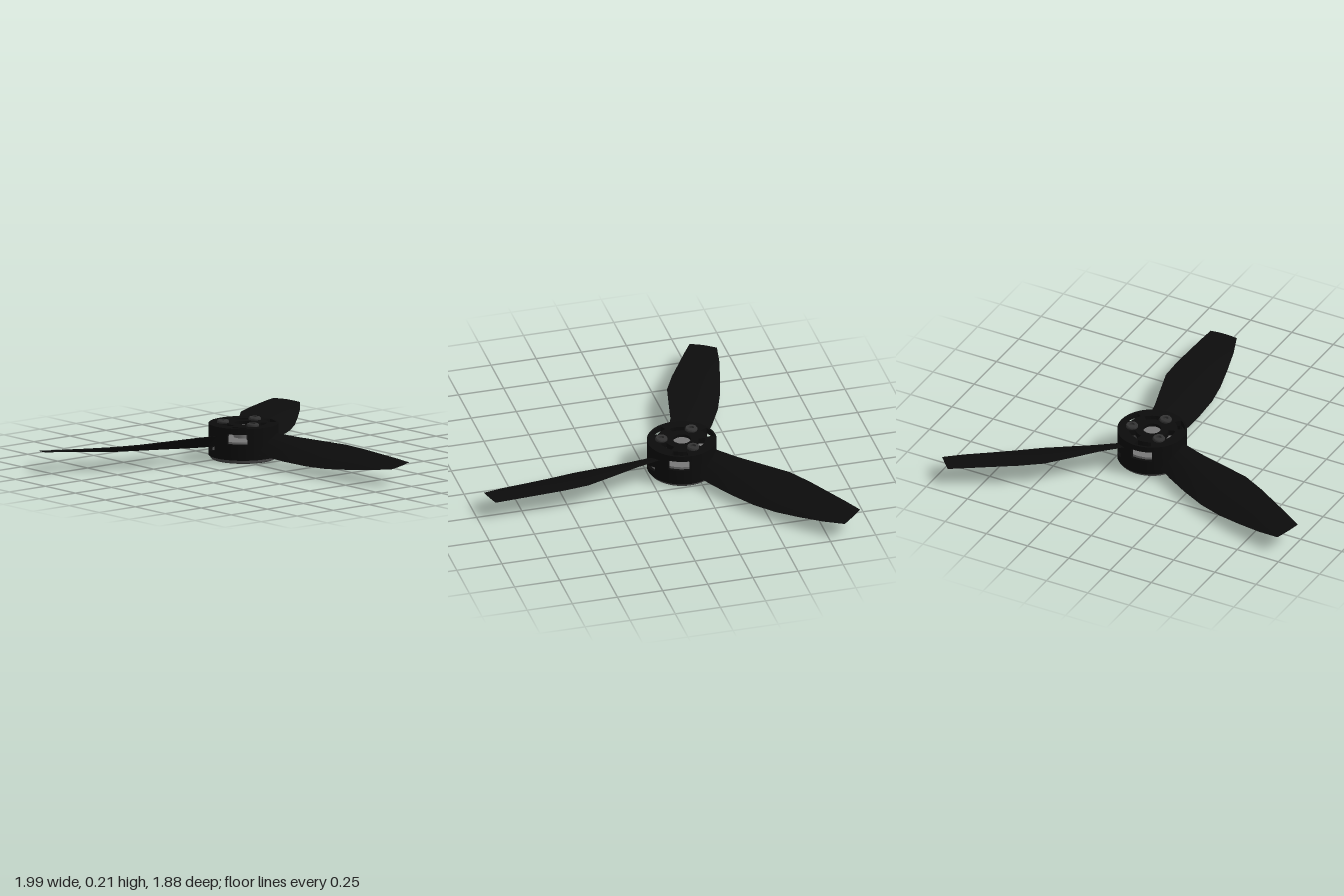
import * as THREE from 'three';
import { toCreasedNormals, mergeGeometries } from 'three/addons/utils/BufferGeometryUtils.js';

const black = new THREE.MeshStandardMaterial({ color: 0x0c0c0c });
const dark = new THREE.MeshStandardMaterial({ color: 0x333333 });
const baseGrey = new THREE.MeshStandardMaterial({ color: 0x444444 });
const grey = new THREE.MeshStandardMaterial({ color: 0x777777 });

function part(parent, name, geometry, material) {
  const mesh = new THREE.Mesh(toCreasedNormals(geometry, 0.5), material);
  mesh.name = name;
  parent.add(mesh);
  return mesh;
}

// Angles are degrees about y, from +z towards +x
const polar = (r, deg) => {
  const a = THREE.MathUtils.degToRad(deg);
  return new THREE.Vector2(r * Math.sin(a), -r * Math.cos(a));
};

function sectorPoints(r0, r1, a0, a1) {
  const n = Math.max(1, Math.ceil((a1 - a0) / 5));
  const pts = [];
  for (let i = 0; i <= n; i++) pts.push(polar(r1, a0 + (a1 - a0) * i / n));
  for (let i = n; i >= 0; i--) pts.push(polar(r0, a0 + (a1 - a0) * i / n));
  return pts;
}

function extrudeUp(shape, y0, y1) {
  return new THREE.ExtrudeGeometry(shape, { depth: y1 - y0, bevelEnabled: false, curveSegments: 48 })
    .rotateX(-Math.PI / 2).translate(0, y0, 0);
}

const sector = (r0, r1, a0, a1, y0, y1) =>
  extrudeUp(new THREE.Shape(sectorPoints(r0, r1, a0, a1)), y0, y1);

const lathe = (profile, segments) =>
  new THREE.LatheGeometry(profile.map(([r, y]) => new THREE.Vector2(r, y)), segments);

// Twisted blade lofted through lens-shaped sections
function bladeGeometry() {
  // z, low edge x, high edge x, low edge y, high edge y, thickness, edge skew
  const sections = [
    [0.15, -0.056, 0.105, 0.055, 0.145, 0.030, 0],
    [0.28, -0.060, 0.135, 0.050, 0.140, 0.030, 0],
    [0.42, -0.060, 0.180, 0.048, 0.135, 0.028, 0],
    [0.58, -0.050, 0.230, 0.047, 0.130, 0.024, 0],
    [0.72, -0.025, 0.240, 0.050, 0.125, 0.020, 0],
    [0.86, 0.010, 0.240, 0.062, 0.120, 0.016, 0],
    [1.00, 0.050, 0.240, 0.078, 0.115, 0.012, 0.005],
    [1.11, 0.094, 0.238, 0.093, 0.110, 0.007, 0.013],
  ];
  const half = 8, ring = half * 2;
  const pos = [], index = [];
  for (const [z, xl, xr, yl, yr, th, skew] of sections) {
    for (let j = 0; j < ring; j++) {
      const t = j <= half ? j / half : (ring - j) / half;
      const bulge = Math.sin(Math.PI * t) * th * (j <= half ? -0.3 : 0.7);
      pos.push(xl + (xr - xl) * t, yl + (yr - yl) * t + bulge, z + skew * (1 - 2 * t));
    }
  }
  const last = (sections.length - 1) * ring;
  for (let s = 0; s < last; s += ring) {
    for (let j = 0; j < ring; j++) {
      const a = s + j, b = s + (j + 1) % ring;
      index.push(a, b, b + ring, a, b + ring, a + ring);
    }
  }
  for (let j = 1; j < ring - 1; j++) {
    index.push(last, last + j, last + j + 1, 0, j + 1, j);
  }
  const g = new THREE.BufferGeometry();
  g.setAttribute('position', new THREE.Float32BufferAttribute(pos, 3));
  g.setIndex(index);
  g.computeVertexNormals();
  return g;
}

// One third of the hub wall: sloped slit below the blade, window at the side
function wallGeometry() {
  const r0 = 0.17, r1 = 0.186;
  const pieces = [
    sector(r0, r1, -32, -12, 0.02, 0.165),
    sector(r0, r1, 24, 52, 0.02, 0.165),
    sector(r0, r1, 52, 88, 0.02, 0.105),
  ];
  const steps = 9, width = 36 / steps;
  for (let i = 0; i < steps; i++) {
    const a = -12 + i * width, t = (i + 0.5) / steps;
    pieces.push(sector(r0, r1, a, a + width, 0.02, 0.042 + 0.018 * t));
    pieces.push(sector(r0, r1, a, a + width, 0.046 + 0.042 * t, 0.165));
  }
  return mergeGeometries(pieces);
}

export function createModel() {
  const model = new THREE.Group();
  model.name = 'propeller';
  const hub = new THREE.Group();
  hub.name = 'hub';
  hub.position.set(0.07, 0, -0.187);
  model.add(hub);

  // Motor: base disc, inner drum, centre column and shaft hole
  part(hub, 'baseDisc', lathe([[0, 0.004], [0.022, 0.004], [0.022, 0], [0.168, 0], [0.175, 0.005],
    [0.175, 0.022], [0, 0.022]], 48), baseGrey);
  part(hub, 'shaftEnd', new THREE.CylinderGeometry(0.02, 0.02, 0.008, 24).translate(0, 0.006, 0), grey);
  part(hub, 'motorDrum', new THREE.CylinderGeometry(0.166, 0.166, 0.095, 48).translate(0, 0.0675, 0), grey);
  part(hub, 'centreColumn', new THREE.CylinderGeometry(0.052, 0.052, 0.065, 32).translate(0, 0.1425, 0), grey);

  // Top plate with centre hole, curved slots and outer openings
  const plate = new THREE.Shape().absarc(0, 0, 0.186, 0, Math.PI * 2);
  plate.holes.push(new THREE.Path().absarc(0, 0, 0.048, 0, Math.PI * 2, true));
  for (let k = 0; k < 3; k++) {
    plate.holes.push(new THREE.Path(sectorPoints(0.09, 0.125, 8 + 120 * k, 48 + 120 * k)));
    plate.holes.push(new THREE.Path(sectorPoints(0.135, 0.175, 55 + 120 * k, 86 + 120 * k)));
  }
  part(hub, 'topPlate', extrudeUp(plate, 0.16, 0.192), black);

  // Threefold parts
  const blade = bladeGeometry();
  const wall = wallGeometry();
  const bolt = lathe([[0.033, 0.12], [0.033, 0.2], [0.029, 0.206], [0.015, 0.206],
    [0.015, 0.194], [0, 0.194]], 24);
  for (let k = 0; k < 3; k++) {
    const third = new THREE.Group();
    third.name = 'hubThird' + (k + 1);
    third.rotation.y = k * Math.PI * 2 / 3;
    hub.add(third);
    part(third, 'blade', blade, black);
    part(third, 'hubWall', wall, black);
    part(third, 'bolt', bolt, dark).position.set(-0.024, 0, 0.107);
  }
  return model;
}
